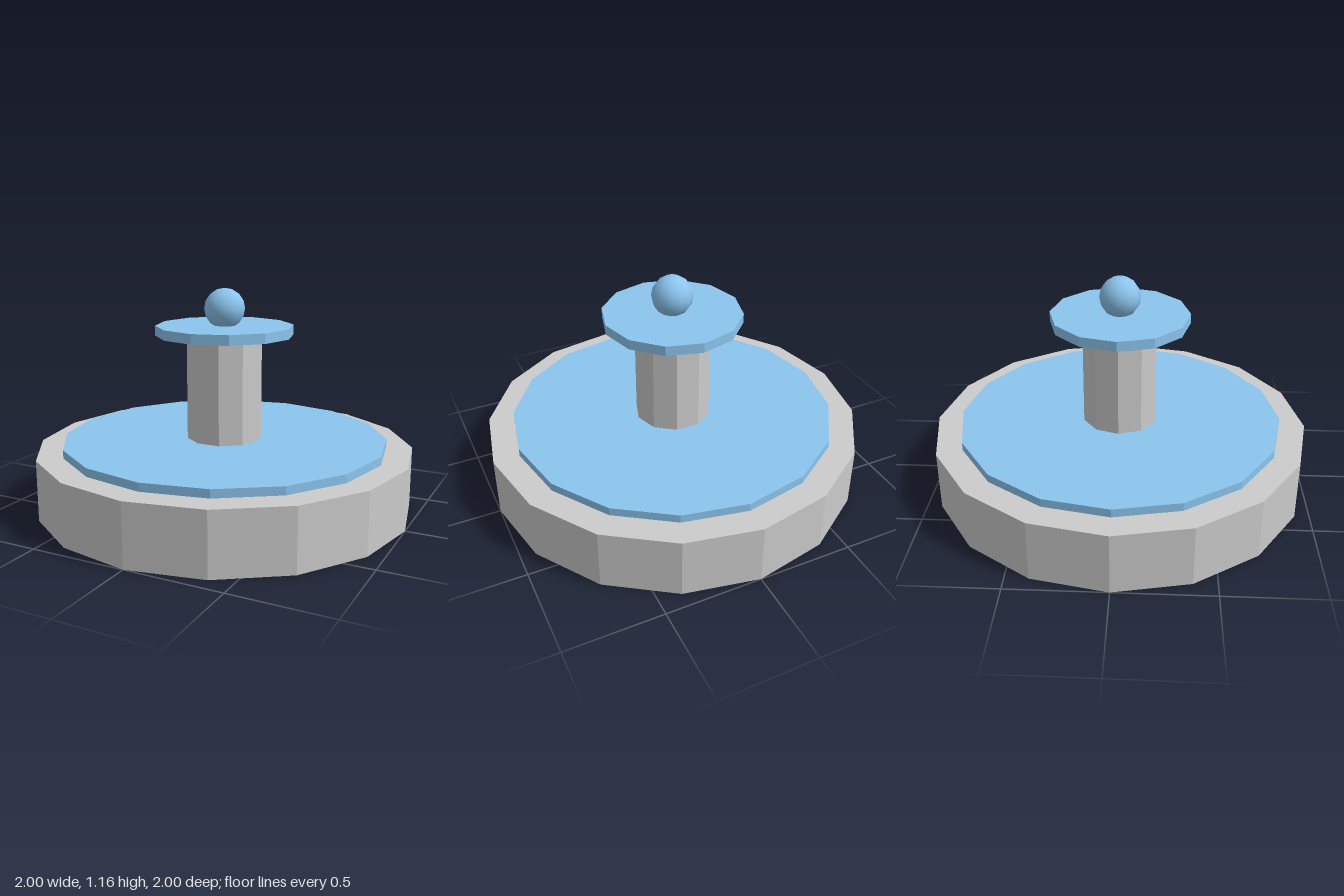
import * as THREE from 'three';

export function createModel() {
  const model = new THREE.Group();
  const grey = new THREE.MeshStandardMaterial({ color: 0xcccccc, flatShading: true });
  const blue = new THREE.MeshStandardMaterial({ color: 0x8cc5ee, flatShading: true });
  const blueSmooth = new THREE.MeshStandardMaterial({ color: 0x8cc5ee });

  // Faceted disc or column between two heights, with a corner on +x
  function prism(name, radius, bottom, top, sides, material) {
    const geometry = new THREE.CylinderGeometry(radius, radius, top - bottom, sides, 1, false, Math.PI / 2);
    const mesh = new THREE.Mesh(geometry, material);
    mesh.name = name;
    mesh.position.y = (bottom + top) / 2;
    model.add(mesh);
  }

  prism('basin', 1, 0, 0.32, 16, grey);
  prism('water', 0.863, 0.32, 0.363, 16, blue);
  prism('column', 0.2, 0.363, 0.913, 10, grey);
  prism('upperWater', 0.363, 0.913, 0.965, 12, blue);

  // Ball resting slightly sunk into the upper disc
  const ball = new THREE.Mesh(new THREE.SphereGeometry(0.107, 12, 8), blueSmooth);
  ball.name = 'ball';
  ball.position.y = 1.052;
  model.add(ball);

  return model;
}
